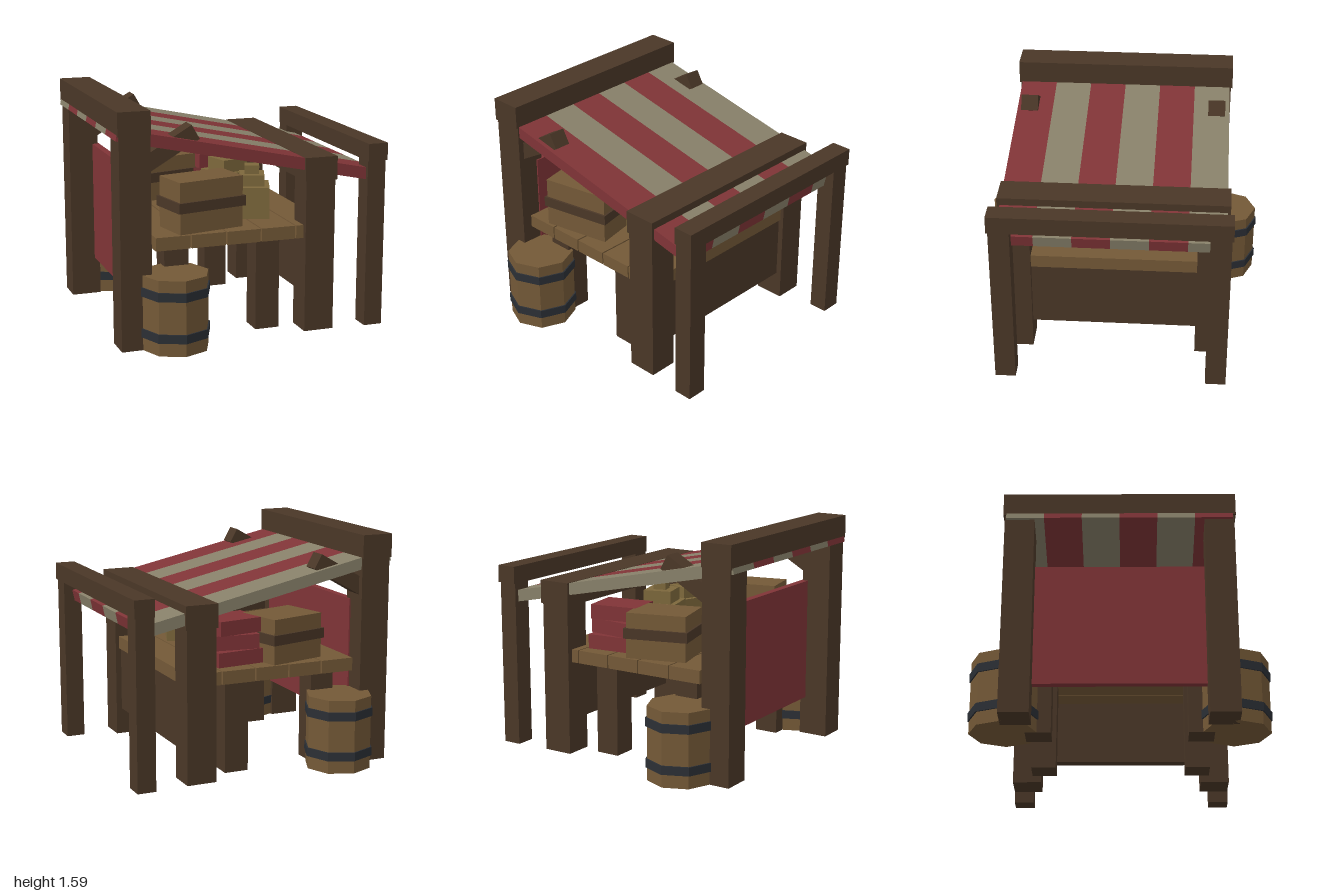
import * as THREE from 'three';

const mat = (color) => new THREE.MeshStandardMaterial({ color, flatShading: true });

export function createModel() {
  const stall = new THREE.Group();
  stall.name = 'marketStall';

  const darkWood = mat(0x4a3727);
  const lightWood = mat(0x745937);
  const red = mat(0x803437);
  const cream = mat(0x878069);
  const iron = mat(0x2b2f35);
  const sackCloth = mat(0x7d683c);

  function add(parent, name, geometry, material, x, y, z) {
    const mesh = new THREE.Mesh(geometry, material);
    mesh.name = name;
    mesh.position.set(x, y, z);
    parent.add(mesh);
    return mesh;
  }

  // Box given by its extents on each axis
  function block(name, material, [x0, x1], [y0, y1], [z0, z1], parent = stall) {
    const geometry = new THREE.BoxGeometry(x1 - x0, y1 - y0, z1 - z0);
    return add(parent, name, geometry, material, (x0 + x1) / 2, (y0 + y1) / 2, (z0 + z1) / 2);
  }

  // Same block on both sides of the stall
  function pair(name, material, xs, ys, [z0, z1]) {
    block(name + 'Left', material, xs, ys, [z0, z1]);
    block(name + 'Right', material, xs, ys, [-z1, -z0]);
  }

  // Frame: posts and the beams across them
  pair('tallPost', darkWood, [-0.93, -0.72], [0, 1.43], [0.57, 0.77]);
  block('tallBeam', darkWood, [-0.94, -0.72], [1.43, 1.59], [-0.78, 0.78]);
  pair('middlePost', darkWood, [0.36, 0.57], [0, 1.05], [0.57, 0.77]);
  block('middleBeam', darkWood, [0.35, 0.58], [1.05, 1.21], [-0.78, 0.78]);
  pair('outerPost', darkWood, [0.8, 0.93], [0, 1.16], [0.65, 0.79]);
  block('outerBeam', darkWood, [0.8, 0.94], [1.16, 1.28], [-0.8, 0.8]);

  // Slanted braces coming through the awning
  for (const z of [0.67, -0.67]) {
    const brace = add(stall, 'brace', new THREE.BoxGeometry(0.5, 0.11, 0.12), darkWood, -0.62, 1.3, z);
    brace.rotation.z = Math.PI / 6;
  }

  // Striped awning
  const awning = new THREE.Group();
  awning.name = 'awning';
  awning.position.set(-0.04, 1.25, 0);
  awning.rotation.z = -0.21;
  stall.add(awning);
  const stripe = 1.52 / 6;
  for (let i = 0; i < 6; i++) {
    add(awning, 'awningStripe', new THREE.BoxGeometry(1.84, 0.08, stripe), i % 2 ? red : cream,
      0, 0, -0.76 + stripe * (i + 0.5));
  }

  // Cloth wall and counter front
  block('clothWall', red, [-0.76, -0.71], [0.27, 1.13], [-0.62, 0.62]);
  block('counterPanel', darkWood, [0.46, 0.53], [0.19, 0.65], [-0.6, 0.6]);

  // Table
  for (let i = 0; i < 5; i++) {
    const x = -0.68 + i * 0.247;
    block('tablePlank', lightWood, [x, x + 0.237], [0.65, 0.74], [-0.73, 0.73]);
  }
  pair('tableLegInner', darkWood, [-0.59, -0.42], [0, 0.65], [0.45, 0.62]);
  pair('tableLegOuter', darkWood, [0.06, 0.23], [0, 0.65], [0.45, 0.62]);

  // Goods are turned groups standing on the table
  function goods(name, x, z, turn) {
    const group = new THREE.Group();
    group.name = name;
    group.position.set(x, 0.74, z);
    group.rotation.y = turn;
    stall.add(group);
    return group;
  }

  // Crates with a dark band
  function crate(x, z, turn, w, h, d, bandY) {
    const g = goods('crate', x, z, turn);
    add(g, 'crateBody', new THREE.BoxGeometry(w, h, d), lightWood, 0, h / 2, 0);
    add(g, 'crateBand', new THREE.BoxGeometry(w + 0.03, 0.07, d + 0.03), darkWood, 0, bandY, 0);
  }
  crate(-0.3, 0.53, 0.2, 0.48, 0.35, 0.28, 0.18);
  crate(-0.25, -0.5, 0.25, 0.42, 0.31, 0.34, 0.17);

  // Sacks: body, neck and tied top
  function sack(x, z, turn, widths, levels) {
    const g = goods('sack', x, z, turn);
    let y = 0;
    widths.forEach((w, i) => {
      const top = levels[i];
      add(g, ['sackBody', 'sackNeck', 'sackTop'][i], new THREE.BoxGeometry(w, top - y, w), sackCloth,
        0, (y + top) / 2, 0);
      y = top;
    });
  }
  sack(0.13, 0.35, -0.34, [0.24, 0.17, 0.1], [0.22, 0.3, 0.36]);
  sack(0.09, -0.03, 0.26, [0.27, 0.2, 0.09], [0.25, 0.34, 0.41]);

  // Pile of folded red cloth, each layer turned a little
  const pile = goods('clothPile', 0.12, -0.47, 0);
  [[0.36, 0.3, 0.1], [0.32, 0.27, -0.12], [0.34, 0.27, 0.16]].forEach(([w, d, turn], i) => {
    const layer = add(pile, 'foldedCloth', new THREE.BoxGeometry(w, 0.1, d), red, 0, 0.05 + i * 0.105, 0);
    layer.rotation.y = turn;
  });

  // Barrels with iron hoops
  for (const z of [0.76, -0.76]) {
    const barrel = new THREE.Group();
    barrel.name = z > 0 ? 'barrelFront' : 'barrelBack';
    barrel.position.set(-0.56, 0, z);
    stall.add(barrel);
    add(barrel, 'barrelBody', new THREE.CylinderGeometry(0.23, 0.23, 0.51, 8), lightWood, 0, 0.255, 0);
    for (const y of [0.12, 0.4]) {
      add(barrel, 'barrelHoop', new THREE.CylinderGeometry(0.24, 0.24, 0.06, 8), iron, 0, y, 0);
    }
  }

  return stall;
}
